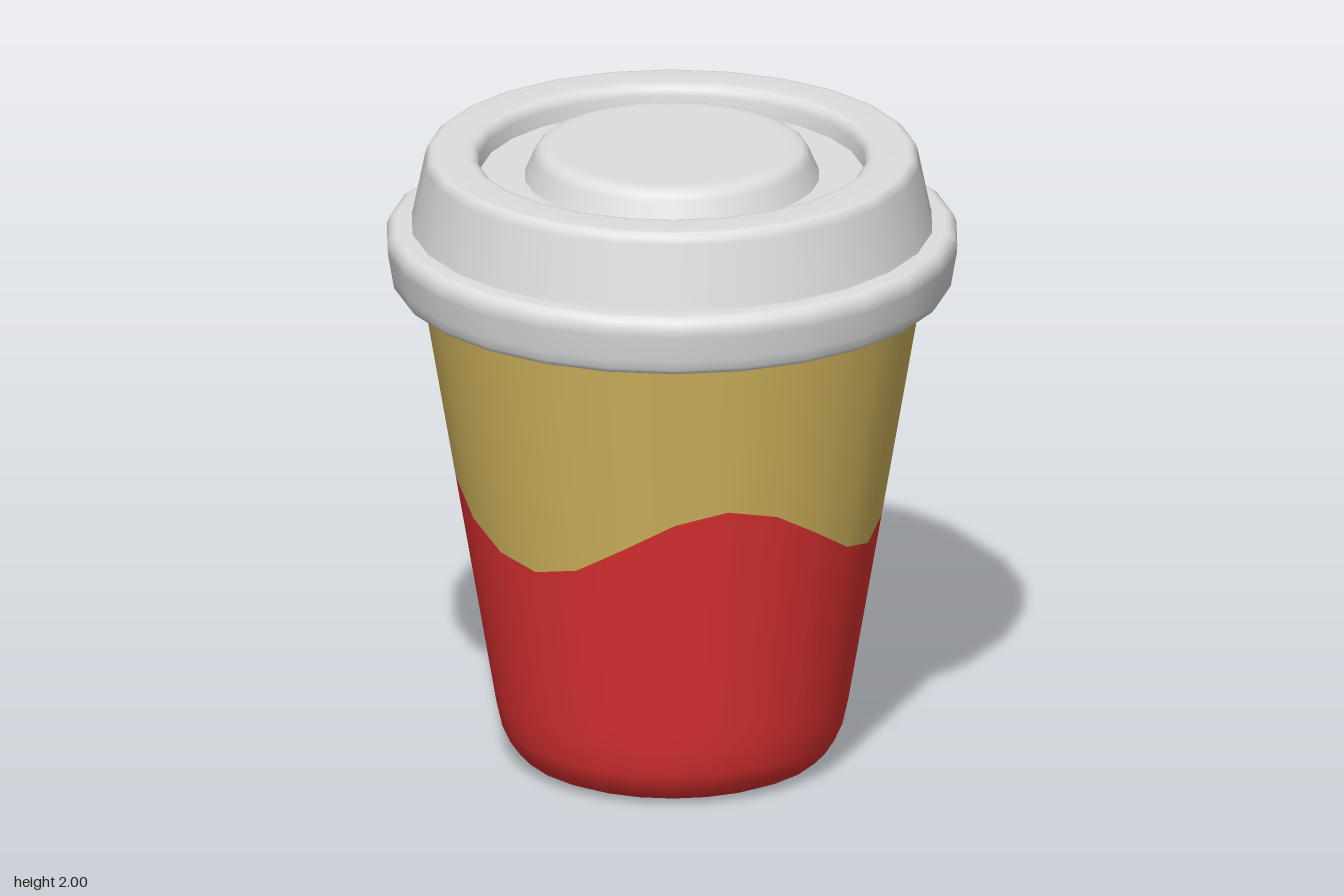
import * as THREE from 'three';

const SIDES = 26;
const HALF_STEP = Math.PI / SIDES;

const red = new THREE.MeshStandardMaterial({ color: 0xe03232 });
red.name = 'red sleeve';
const tan = new THREE.MeshStandardMaterial({ color: 0xd5b85f });
tan.name = 'tan cup';
const grey = new THREE.MeshStandardMaterial({ color: 0xdedede });
grey.name = 'grey lid';

// Turned part; the profile runs so that its outside is on the right
function turned(name, profile, material) {
  const points = profile.map(([r, y]) => new THREE.Vector2(r, y));
  const mesh = new THREE.Mesh(new THREE.LatheGeometry(points, SIDES, HALF_STEP), material);
  mesh.name = name;
  return mesh;
}

// Radius of the tapered cup wall at a height
const wallRadius = (y) => 0.515 + 0.17 * y;

// Height of the wavy colour border at each column: troughs and crests alternate
const turns = [-3, 1, 5, 10, 14, 19, 23, 27];
function waveHeight(column) {
  const c = column % SIDES;
  const k = turns.findIndex((t, i) => c >= t && c < turns[i + 1]);
  const phase = (c - turns[k]) / (turns[k + 1] - turns[k]);
  const startSign = k % 2 === 0 ? 1 : -1;
  return 0.9 + 0.13 * startSign * Math.cos(phase * Math.PI);
}

// Moves one ring of a turned wall onto the wavy border
function bendRing(mesh, ring, ringCount) {
  const pos = mesh.geometry.attributes.position;
  for (let i = 0; i <= SIDES; i++) {
    const y = waveHeight(i);
    const r = wallRadius(y);
    const angle = (2 * i + 1) * HALF_STEP;
    pos.setXYZ(i * ringCount + ring, r * Math.sin(angle), y, r * Math.cos(angle));
  }
  return mesh;
}

export function createModel() {
  const group = new THREE.Group();
  group.name = 'lidded cup';

  // Cup: red lower part with rounded foot, tan upper part
  const lower = [
    [0, 0], [0.4, 0], [0.43, 0.004], [0.47, 0.022], [0.505, 0.06],
    [0.53, 0.115], [wallRadius(0.2), 0.2], [wallRadius(0.26), 0.26], [wallRadius(0.9), 0.9],
  ];
  group.add(bendRing(turned('lowerCup', lower, red), lower.length - 1, lower.length));

  const upper = [[wallRadius(0.9), 0.9], [wallRadius(1.58), 1.58]];
  group.add(bendRing(turned('upperCup', upper, tan), 0, upper.length));

  // Lid: rolled rim
  group.add(turned('lidRim', [
    [0.76, 1.55], [0.84, 1.55], [0.855, 1.553], [0.868, 1.57], [0.873, 1.6],
    [0.887, 1.68], [0.888, 1.705], [0.88, 1.728], [0.865, 1.74], [0.85, 1.743], [0.8, 1.743],
  ], grey));

  // Lid: sloped wall rolling over into the sunken well
  group.add(turned('lidWall', [
    [0.812, 1.735], [0.806, 1.76], [0.768, 1.945], [0.762, 1.965], [0.75, 1.977],
    [0.735, 1.98], [0.64, 1.98], [0.62, 1.976], [0.606, 1.965], [0.6, 1.945], [0.596, 1.9],
  ], grey));
  group.add(turned('lidWell', [[0.6, 1.9], [0.44, 1.9]], grey));

  // Lid: raised centre
  group.add(turned('lidCentre', [
    [0.458, 1.9], [0.43, 1.965], [0.422, 1.982], [0.408, 1.994],
    [0.385, 2], [0.36, 2], [0, 2],
  ], grey));

  return group;
}
